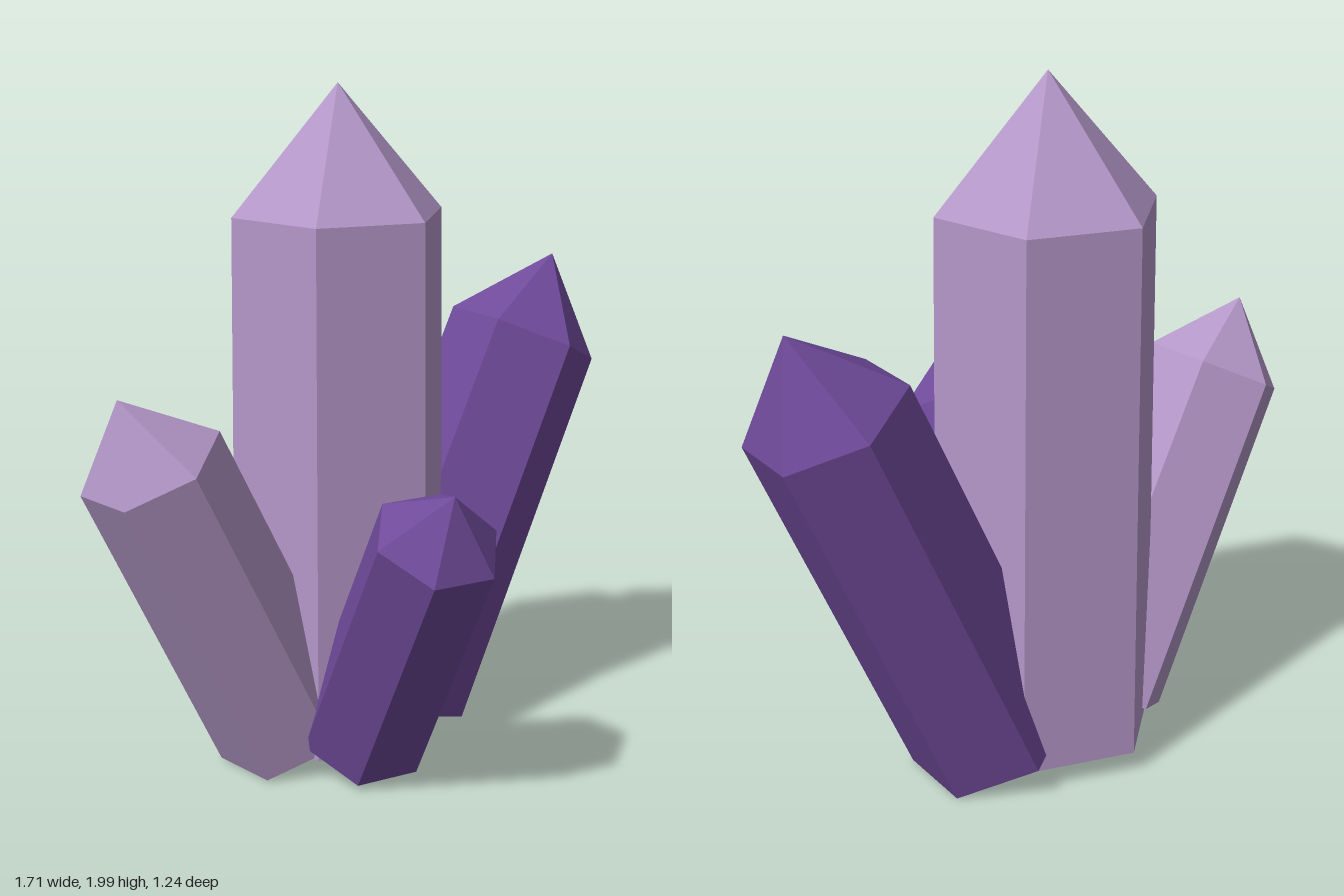
import * as THREE from 'three';

const vec = (a) => new THREE.Vector3(...a);

// Six-sided crystal from base centre to shoulder centre, with a pointed tip.
// corner is the offset of one shoulder corner; it sets the twist about the axis.
function crystal({ name, base, shoulder, corner, rBase, rTop, tip, color }) {
  const axis = vec(shoulder).sub(vec(base));
  const height = axis.length();
  axis.normalize();

  const profile = [[0, 0], [rBase, 0], [rTop, height], [0, height + tip]]
    .map(([r, y]) => new THREE.Vector2(r, y));
  const geometry = new THREE.LatheGeometry(profile, 6).toNonIndexed();

  // Orient: y along the axis, z toward the chosen corner
  const side = new THREE.Vector3().crossVectors(axis, vec(corner)).normalize();
  const front = new THREE.Vector3().crossVectors(side, axis);
  const frame = new THREE.Matrix4().makeBasis(side, axis, front).setPosition(...base);
  geometry.applyMatrix4(frame);
  geometry.computeVertexNormals();

  const mesh = new THREE.Mesh(
    geometry,
    new THREE.MeshStandardMaterial({ color, flatShading: true })
  );
  mesh.name = name;
  return mesh;
}

export function createModel() {
  const group = new THREE.Group();
  group.name = 'crystalCluster';
  const lilac = 0xb497c8;
  const purple = 0x6f4a9a;

  const crystals = [
    { name: 'mainCrystal', base: [-0.035, 0.07, -0.19], shoulder: [-0.035, 1.63, -0.19],
      corner: [1, 0, 0], rBase: 0.335, rTop: 0.32, tip: 0.37, color: lilac },
    { name: 'leftSideCrystal', base: [0.16, 0.095, -0.28], shoulder: [0.645, 1.19, -0.39],
      corner: [-0.055, 0, -0.23], rBase: 0.245, rTop: 0.235, tip: 0.265, color: purple },
    { name: 'rightSideCrystal', base: [-0.23, 0.1, -0.108], shoulder: [-0.67, 1.005, 0.063],
      corner: [0.19, 0.085, 0.038], rBase: 0.22, rTop: 0.21, tip: 0.22, color: lilac },
    { name: 'frontCrystal', base: [-0.045, 0.11, 0.045], shoulder: [0.017, 0.83, 0.47],
      corner: [0.183, 0, -0.03], rBase: 0.195, rTop: 0.186, tip: 0.17, color: purple },
  ];
  for (const c of crystals) group.add(crystal(c));
  return group;
}
